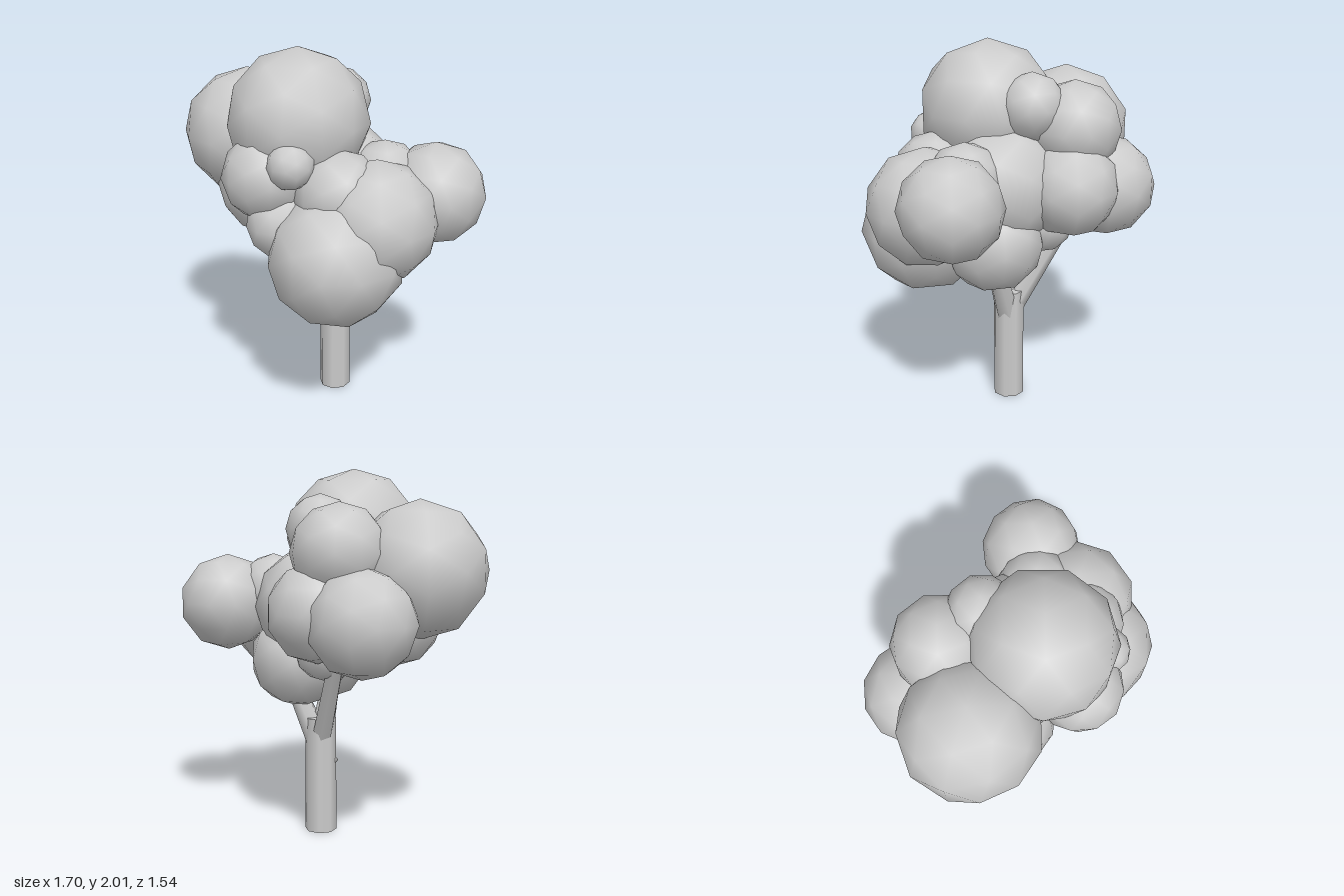
import * as THREE from 'three';

const material = new THREE.MeshStandardMaterial({ color: 0xcccccc });

// Foliage balls: x, y, z, radius
const clumps = [
  [-0.13, 1.63, 0.14, 0.37],  // crown top
  [-0.5, 1.47, -0.21, 0.355], // big side ball
  [0.58, 1.27, 0.1, 0.265],   // outlying side ball
  [0.12, 1.0, 0.42, 0.35],    // big front ball
  [0.31, 1.18, 0.34, 0.315],
  [-0.26, 1.38, 0.33, 0.225],
  [-0.1, 1.48, 0.46, 0.12],
  [-0.36, 1.21, -0.05, 0.265],
  [-0.23, 1.22, -0.5, 0.275], // lowest back ball
  [-0.1, 1.56, -0.35, 0.25],
  [0.02, 1.68, -0.15, 0.18],
  [0.01, 1.26, -0.36, 0.26],
  [0.16, 0.97, 0.02, 0.27],   // ball over the trunk
  [0.32, 1.34, 0.12, 0.2],
  [0.12, 1.31, 0.35, 0.23],
  [-0.17, 1.15, 0.38, 0.18],
  [0.05, 1.26, 0.0, 0.34],    // core
  [-0.2, 1.42, -0.02, 0.3],
  [-0.02, 1.05, -0.2, 0.17],
];

// Tapered limb between two points
function limb(name, from, to, r0, r1, sides) {
  const a = new THREE.Vector3(...from);
  const b = new THREE.Vector3(...to);
  const dir = b.clone().sub(a);
  const mesh = new THREE.Mesh(new THREE.CylinderGeometry(r1, r0, dir.length(), sides), material);
  mesh.position.copy(a).add(b).multiplyScalar(0.5);
  mesh.quaternion.setFromUnitVectors(new THREE.Vector3(0, 1, 0), dir.normalize());
  mesh.name = name;
  return mesh;
}

export function createModel() {
  const tree = new THREE.Group();
  tree.name = 'tree';

  // Trunk and the branches rising into the foliage
  tree.add(
    limb('trunk', [0.035, 0, -0.03], [0.035, 0.645, -0.03], 0.088, 0.086, 8),
    limb('backBranch', [0.04, 0.48, -0.02], [-0.08, 1.0, -0.3], 0.06, 0.045, 6),
    limb('sideBranch', [0.03, 0.46, -0.03], [0.21, 0.88, 0.0], 0.07, 0.05, 6),
    limb('innerBranch', [0.035, 0.5, -0.03], [-0.03, 0.95, 0.05], 0.07, 0.05, 6),
    limb('twigStub', [0.03, 0.33, -0.03], [-0.055, 0.41, -0.03], 0.035, 0.012, 5),
  );

  // Smooth-shaded, low-poly foliage
  const foliage = new THREE.Group();
  foliage.name = 'foliage';
  const ball = new THREE.IcosahedronGeometry(1, 1);
  clumps.forEach(([x, y, z, r], i) => {
    const mesh = new THREE.Mesh(ball, material);
    mesh.name = `leafClump${i + 1}`;
    mesh.position.set(x, y, z);
    mesh.scale.setScalar(r * 1.02);
    mesh.rotation.set(0, i * 0.7, 0);
    foliage.add(mesh);
  });
  tree.add(foliage);
  return tree;
}
